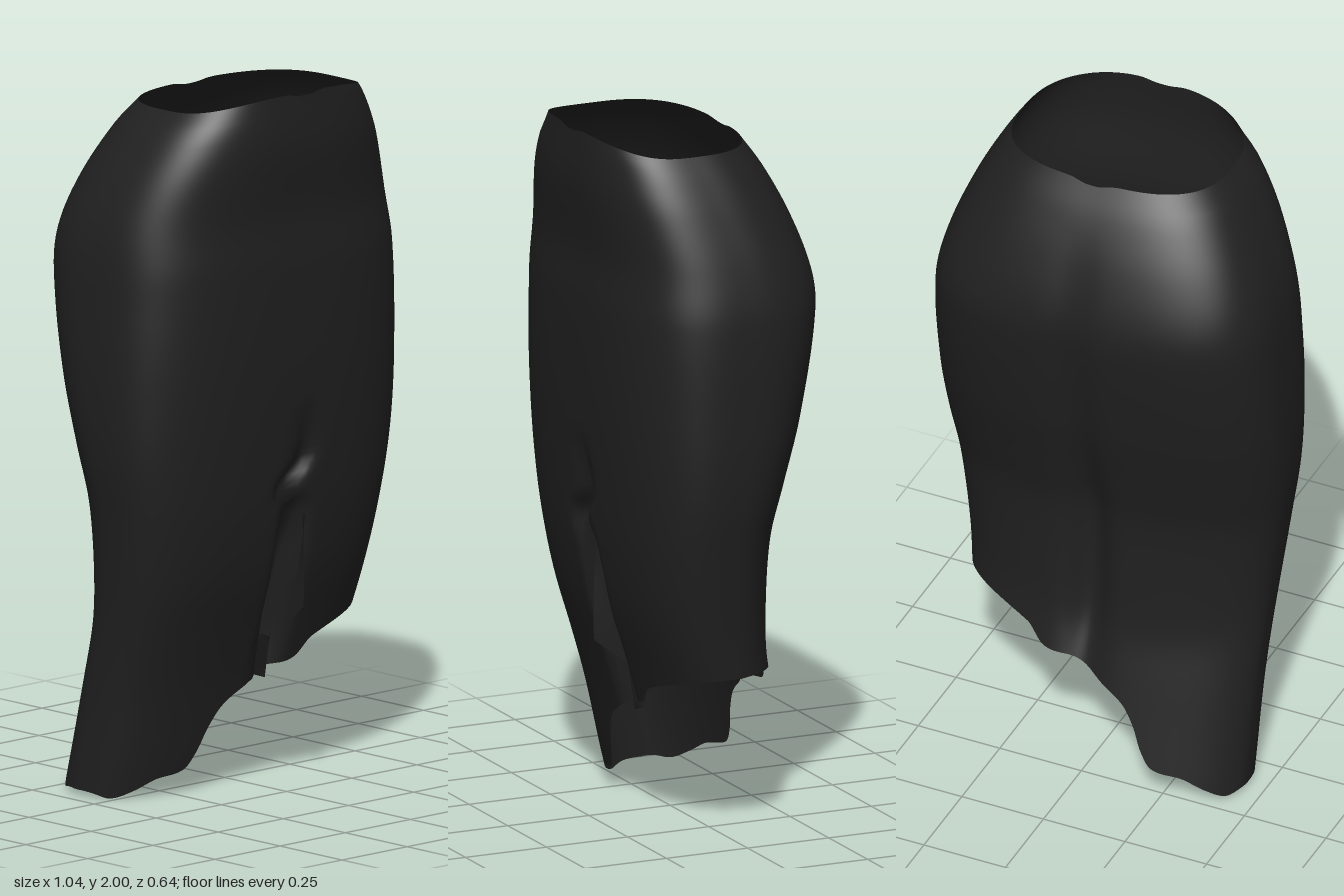
import * as THREE from 'three';

// Smooth interpolation through [position, value] pairs sorted by position
function curve(points) {
  const last = points.length - 1;
  const slope = (i) => {
    const a = points[Math.max(0, i - 1)], b = points[Math.min(last, i + 1)];
    return (b[1] - a[1]) / (b[0] - a[0]);
  };
  return (p) => {
    if (p <= points[0][0]) return points[0][1];
    if (p >= points[last][0]) return points[last][1];
    let i = 0;
    while (p > points[i + 1][0]) i++;
    const [p0, v0] = points[i], [p1, v1] = points[i + 1];
    const h = p1 - p0, t = (p - p0) / h, t2 = t * t, t3 = t2 * t;
    return v0 * (2 * t3 - 3 * t2 + 1) + v1 * (3 * t2 - 2 * t3)
      + h * slope(i) * (t3 - 2 * t2 + t) + h * slope(i + 1) * (t3 - t2);
  };
}

// Silhouettes of the cloth by height
const rightEdge = curve([[0, -0.45], [0.3, -0.45], [0.55, -0.46], [0.8, -0.485], [1, -0.512], [1.2, -0.522],
  [1.4, -0.518], [1.6, -0.5], [1.75, -0.45], [1.9, -0.365], [1.96, -0.31], [2, -0.28]]);
const leftEdge = curve([[0.3, 0.41], [0.48, 0.435], [0.6, 0.45], [0.8, 0.48], [1, 0.51], [1.2, 0.52],
  [1.5, 0.512], [1.65, 0.48], [1.8, 0.425], [1.9, 0.375], [1.96, 0.335], [2, 0.3]]);
const frontEdge = curve([[0, 0.065], [0.1, 0.09], [0.3, 0.135], [0.45, 0.178], [0.6, 0.225], [0.72, 0.252],
  [0.87, 0.274], [1.2, 0.3], [1.5, 0.308], [1.65, 0.302], [1.85, 0.32], [2, 0.312]]);
const backEdge = curve([[0, -0.325], [0.06, -0.312], [0.35, -0.24], [0.48, -0.21], [0.6, -0.2], [0.85, -0.2],
  [1, -0.23], [1.2, -0.277], [1.5, -0.322], [1.6, -0.315], [1.75, -0.265], [1.88, -0.2], [1.96, -0.145]]);

// Corner exponent of the cross-section: small is square, 1 is round
const backRoundness = curve([[0.5, 0.98], [0.8, 0.9], [1.2, 0.76], [1.5, 0.7], [2, 0.74]]);
const frontRoundness = 0.7;

// Slanting hem height across x
const hem = curve([[-0.45, 0.015], [-0.42, 0], [-0.37, 0.02], [-0.31, 0.05], [-0.22, 0.07], [-0.185, 0.12],
  [-0.16, 0.18], [-0.12, 0.24], [-0.05, 0.285], [0.05, 0.33], [0.14, 0.35], [0.19, 0.4], [0.43, 0.47]]);

// Wandering front crease and softer back crease: centre and depth by height
const creaseX = curve([[0.3, 0.03], [0.6, 0.025], [0.8, 0.02], [0.87, -0.015], [0.95, 0.045], [1.1, 0.035]]);
const creaseDepth = curve([[0.3, 0.03], [0.45, 0.08], [0.65, 0.09], [0.82, 0.05], [0.95, 0.03], [1.12, 0]]);
const backCrease = curve([[0.3, 0.02], [0.5, 0.05], [0.8, 0.055], [1.1, 0.03], [1.5, 0.015], [1.85, 0]]);

const power = (v, p) => Math.sign(v) * Math.abs(v) ** p;

// Point on the cloth at an angle around the body and a height
function clothPoint(angle, y) {
  const sine = Math.sin(angle), p = sine > 0 ? frontRoundness : backRoundness(y);
  const l = leftEdge(y), r = rightEdge(y), f = frontEdge(y), b = backEdge(y);
  const x = (l + r) / 2 + power(Math.cos(angle), p) * (l - r) / 2;
  let z = (f + b) / 2 + power(sine, p) * (f - b) / 2;
  if (sine > 0) z -= creaseDepth(y) * Math.exp(-(((x - creaseX(y)) / 0.036) ** 2));
  else z += backCrease(y) * Math.exp(-(((x - 0.01) / 0.06) ** 2));
  return [x, y, z];
}

// Surface from a grid of points, optionally closed around
function sheet(columns, rows, closed, point) {
  const positions = [], index = [];
  for (let i = 0; i < columns; i++)
    for (let j = 0; j <= rows; j++) positions.push(...point(i, j / rows));
  for (let i = 0; i < (closed ? columns : columns - 1); i++)
    for (let j = 0; j < rows; j++) {
      const a = i * (rows + 1) + j, b = ((i + 1) % columns) * (rows + 1) + j;
      index.push(a, a + 1, b, b, a + 1, b + 1);
    }
  const geometry = new THREE.BufferGeometry();
  geometry.setAttribute('position', new THREE.Float32BufferAttribute(positions, 3));
  geometry.setIndex(index);
  geometry.computeVertexNormals();
  return geometry;
}

export function createModel() {
  const group = new THREE.Group();
  group.name = 'asymmetricSkirt';
  const cloth = new THREE.MeshStandardMaterial({ color: 0x202020, side: THREE.DoubleSide });
  cloth.name = 'black cloth';
  const add = (name, geometry) => {
    const mesh = new THREE.Mesh(geometry, cloth);
    mesh.name = name;
    group.add(mesh);
  };

  // Skirt body: open waist, slanting hem a little higher at the back
  const columns = 300;
  add('skirtBody', sheet(columns, 80, true, (i, t) => {
    const angle = (i / columns) * Math.PI * 2, c = Math.cos(angle), s = Math.sin(angle);
    const p = s > 0 ? frontRoundness : 0.98;
    const bottom = hem(-0.01 + 0.44 * power(c, p)) + 0.03 * Math.max(0, -s);
    const top = 1.96 + 0.04 * Math.max(0, s) ** 2 - 0.01 * Math.exp(-((c / 0.08) ** 2));
    return clothPoint(angle, bottom + (top - bottom) * t);
  }));

  // Loose torn fold hanging at the foot of the front crease
  const fold = [[-0.05, 0.135], [0.0, 0.105], [0.035, 0.125], [0.06, 0.1]];
  add('tornFold', sheet(fold.length, 4, false, (i, t) =>
    [fold[i][0], 0.3 + 0.012 * (i % 2) + 0.12 * t, fold[i][1] + 0.02 * t]));

  // Edge of the tear standing forward of the short side
  const lipFront = curve([[0.5, 0.25], [0.53, 0.262], [0.75, 0.258], [0.8, 0.25]]);
  add('tearLip', sheet(2, 8, false, (i, t) => {
    const y = i ? 0.52 + 0.26 * t : 0.44 + 0.34 * t;
    return i ? [0.055, y, lipFront(y)] : [0.075, y, frontEdge(y) - 0.015];
  }));

  return group;
}
